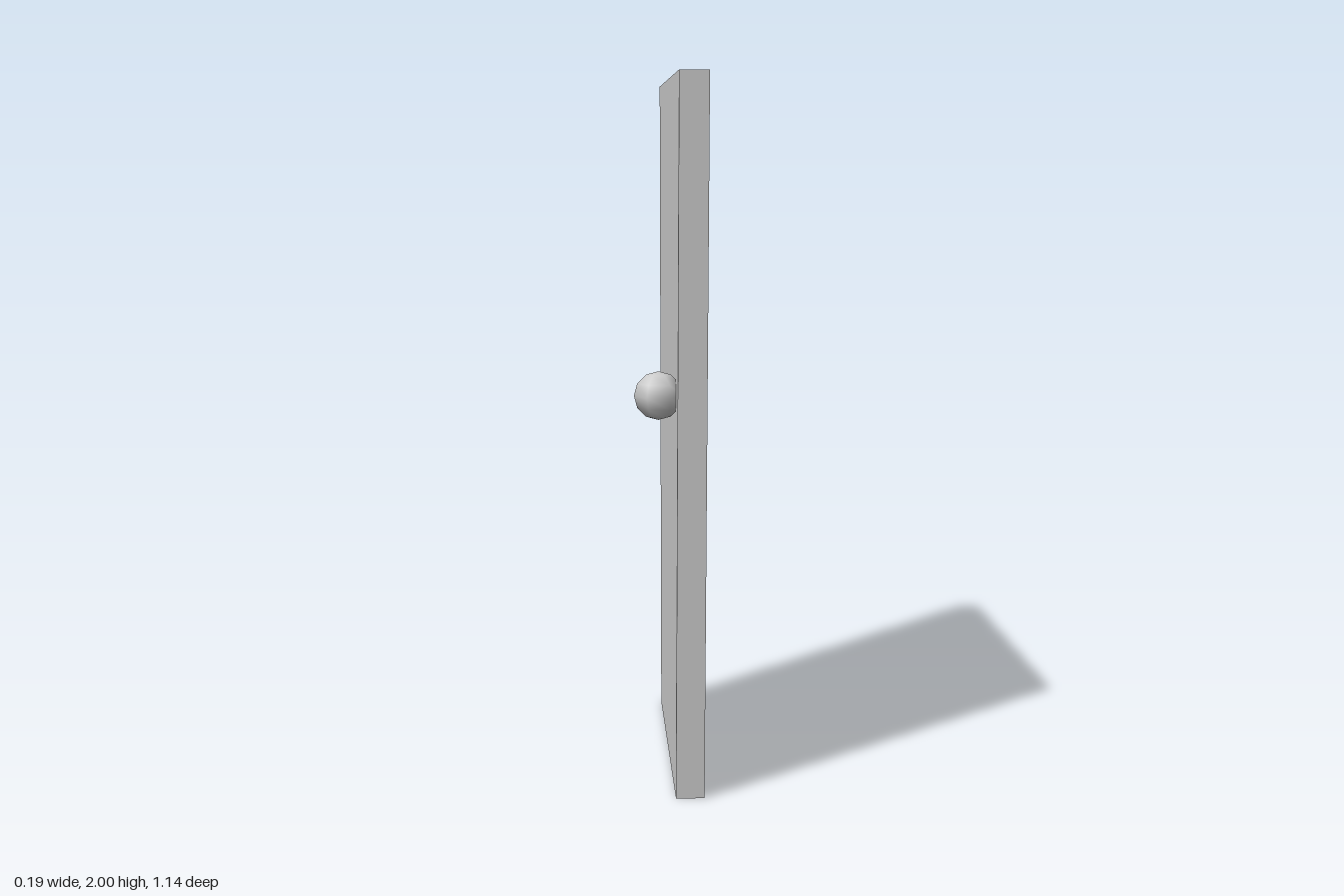
import * as THREE from 'three';

export function createModel() {
  const group = new THREE.Group();
  const material = new THREE.MeshStandardMaterial({ color: 0xcccccc });

  // Door panel: a thin slab, wider at the top than at the bottom
  const slab = new THREE.BoxGeometry(0.08, 2, 1.144);
  const pos = slab.attributes.position;
  for (let i = 0; i < pos.count; i++) {
    if (pos.getY(i) < 0) pos.setZ(i, Math.sign(pos.getZ(i)) * 0.46);
  }
  slab.computeVertexNormals();
  const panel = new THREE.Mesh(slab, material);
  panel.name = 'doorPanel';
  panel.position.set(0.057, 1, 0);
  group.add(panel);

  // Six-sided, smooth-shaded knob set partly into the panel
  const knob = new THREE.Mesh(new THREE.SphereGeometry(0.067, 6, 6), material);
  knob.name = 'doorKnob';
  knob.position.set(-0.03, 1.131, 0.413);
  group.add(knob);

  return group;
}
